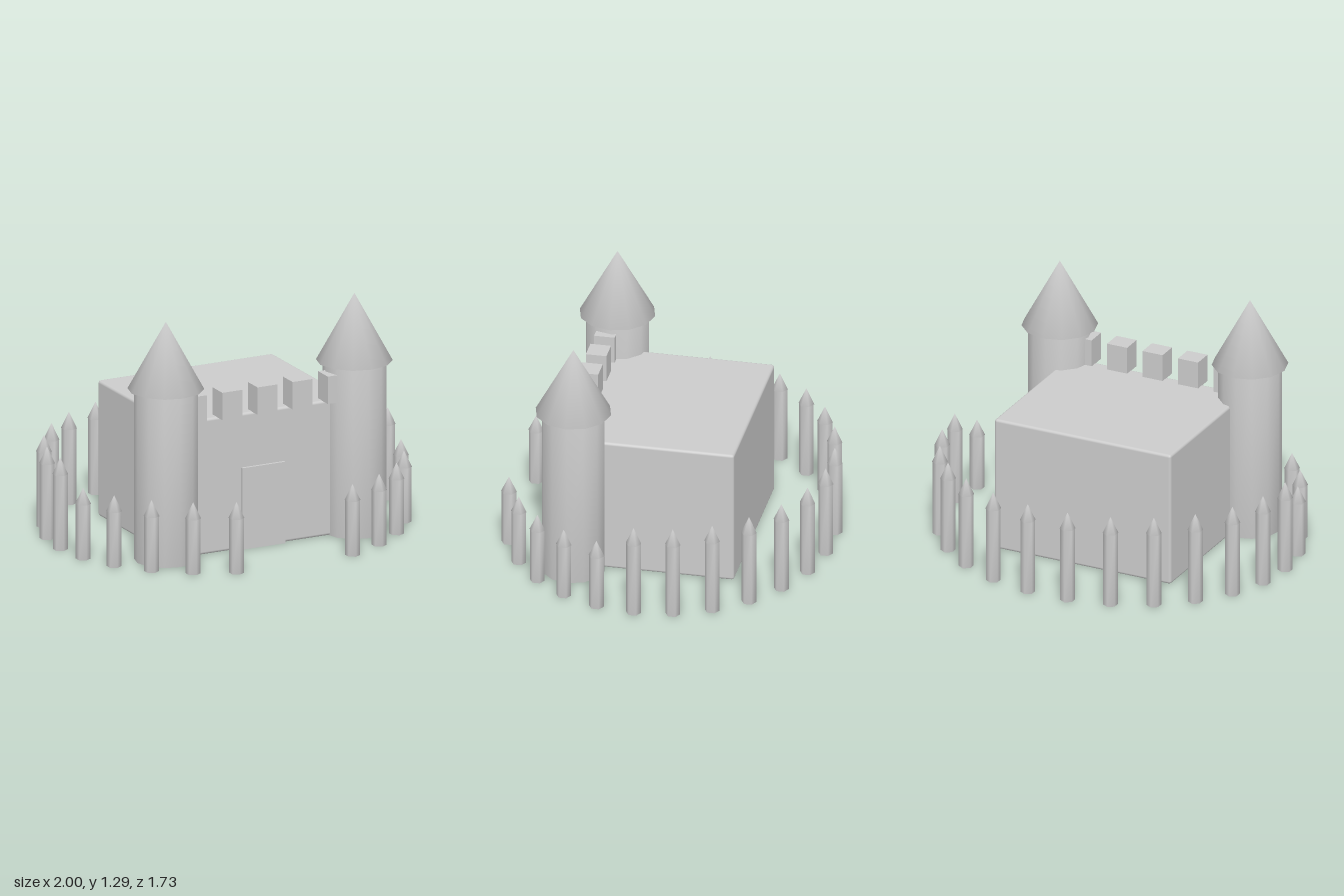
import * as THREE from 'three';
import { mergeVertices } from 'three/addons/utils/BufferGeometryUtils.js';
import { RoundedBoxGeometry } from 'three/addons/geometries/RoundedBoxGeometry.js';

const material = new THREE.MeshStandardMaterial({ color: 0xcccccc });

function part(name, geometry, parent, x = 0, y = 0, z = 0) {
  const mesh = new THREE.Mesh(geometry, material);
  mesh.name = name;
  mesh.position.set(x, y, z);
  parent.add(mesh);
  return mesh;
}

// Weld all corners so the shading rolls softly over every rim
function soften(geometry) {
  geometry.deleteAttribute('normal');
  geometry.deleteAttribute('uv');
  const welded = mergeVertices(geometry);
  welded.computeVertexNormals();
  return welded;
}

// Prism or cone standing on its own base
function column(radius, height, sides) {
  return soften(new THREE.CylinderGeometry(radius, radius, height, sides).translate(0, height / 2, 0));
}
function spire(radius, height, sides) {
  return soften(new THREE.ConeGeometry(radius, height, sides).translate(0, height / 2, 0));
}

// Body with a pointed cap, used for towers and stakes
function cappedColumn(name, bodyName, capName, g, parent, x, z) {
  const group = new THREE.Group();
  group.name = name;
  group.position.set(x, 0, z);
  part(bodyName, g.body, group);
  part(capName, g.cap, group, 0, g.height, 0);
  parent.add(group);
}

export function createModel() {
  const castle = new THREE.Group();
  castle.name = 'castle';

  // Main block with slightly eased edges
  part('keep', new RoundedBoxGeometry(1.03, 0.74, 0.876, 2, 0.015), castle, 0, 0.37, 0.021);

  // Door panel on the front wall
  part('door', new THREE.BoxGeometry(0.254, 0.445, 0.05), castle, 0, 0.2225, 0.449);

  // Battlements along the front edge
  const merlon = new THREE.BoxGeometry(0.117, 0.15, 0.11);
  for (let i = -2; i <= 2; i++) part('merlon', merlon, castle, i * 0.207, 0.813, 0.459);

  // Two round front towers with conical roofs
  const tower = { body: column(0.167, 0.94, 12), cap: spire(0.201, 0.365, 12), height: 0.93 };
  for (const side of [-1, 1]) {
    cappedColumn('tower', 'towerWall', 'towerRoof', tower, castle, side * 0.555, 0.431);
  }

  // Oval palisade: tall at the back, short at the front, open before the door
  const stake = (height, tip) => ({ body: column(0.039, height, 6), cap: spire(0.042, tip, 6), height });
  const tall = stake(0.41, 0.09);
  const short = stake(0.3, 0.087);
  const count = 26;
  for (let i = 1; i < count - 1; i++) {
    const angle = ((i + 0.5) / count) * Math.PI * 2;
    const x = 0.964 * Math.sin(angle);
    const z = 0.023 + 0.852 * Math.cos(angle);
    cappedColumn('stake', 'stakePost', 'stakeTip', z > 0.1 ? short : tall, castle, x, z);
  }

  return castle;
}
